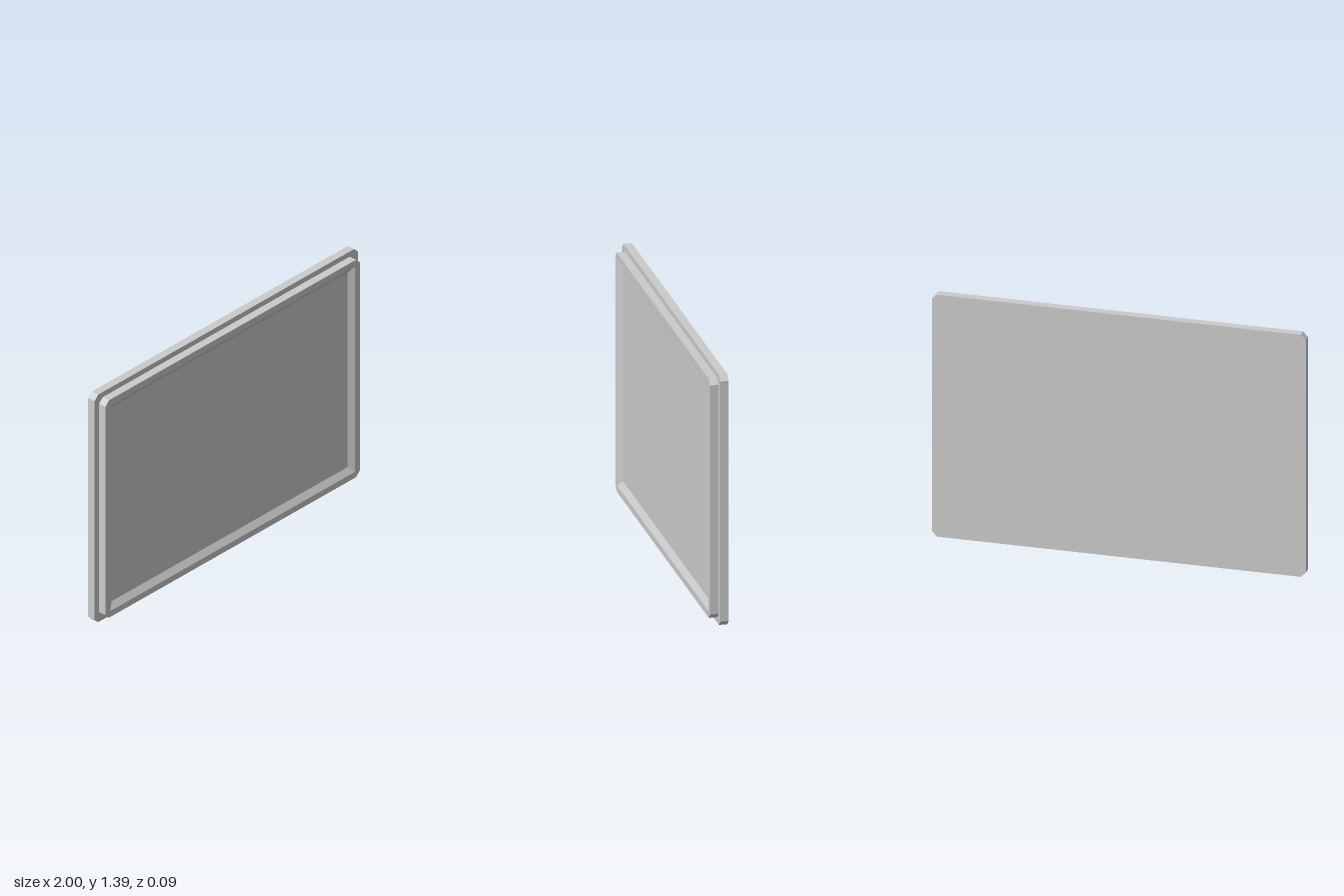
import * as THREE from 'three';

const CENTER_Y = 0.695;
const LAYER = 0.045;          // thickness of each layer
const FLOOR_Z = 0.0225;       // depth of the recessed panel
const INNER = { x: 0.895, y: 0.593 };   // panel edge
const RIM = { x: 0.93, y: 0.628 };      // front edge of the opening

// Rectangle with cut corners, centred on the origin
function chamferedRect(hx, hy, c) {
  return new THREE.Shape([
    [hx - c, -hy], [hx, -hy + c], [hx, hy - c], [hx - c, hy],
    [-hx + c, hy], [-hx, hy - c], [-hx, -hy + c], [-hx + c, -hy],
  ].map(([x, y]) => new THREE.Vector2(x, y)));
}

function extrude(shape) {
  return new THREE.ExtrudeGeometry(shape, { depth: LAYER, bevelEnabled: false });
}

export function createModel() {
  const group = new THREE.Group();
  const material = new THREE.MeshStandardMaterial({ color: 0xcccccc, flatShading: true });
  const add = (name, geometry, z) => {
    const mesh = new THREE.Mesh(geometry, material);
    mesh.name = name;
    mesh.position.set(0, CENTER_Y, z);
    group.add(mesh);
  };

  // Larger plate at the back
  add('backPlate', extrude(chamferedRect(1, CENTER_Y, 0.028)), -LAYER);

  // Smaller frame in front, with a rectangular opening
  const frameShape = chamferedRect(0.966, 0.664, 0.028);
  const { x: ix, y: iy } = INNER;
  frameShape.holes.push(new THREE.Path([
    new THREE.Vector2(-ix, -iy), new THREE.Vector2(-ix, iy),
    new THREE.Vector2(ix, iy), new THREE.Vector2(ix, -iy),
  ]));
  const frame = extrude(frameShape);

  // Slope the opening: widen it at the front, end it at the panel behind
  const p = frame.attributes.position;
  for (let i = 0; i < p.count; i++) {
    const x = p.getX(i), y = p.getY(i);
    if (Math.abs(x) > ix + 0.001 || Math.abs(y) > iy + 0.001) continue;
    if (p.getZ(i) > LAYER / 2) p.setXY(i, Math.sign(x) * RIM.x, Math.sign(y) * RIM.y);
    else p.setZ(i, FLOOR_Z);
  }
  frame.computeVertexNormals();
  add('frontFrame', frame, 0);

  // Flat panel inside the frame
  add('recessedPanel', new THREE.PlaneGeometry(2 * ix, 2 * iy), FLOOR_Z);

  return group;
}
